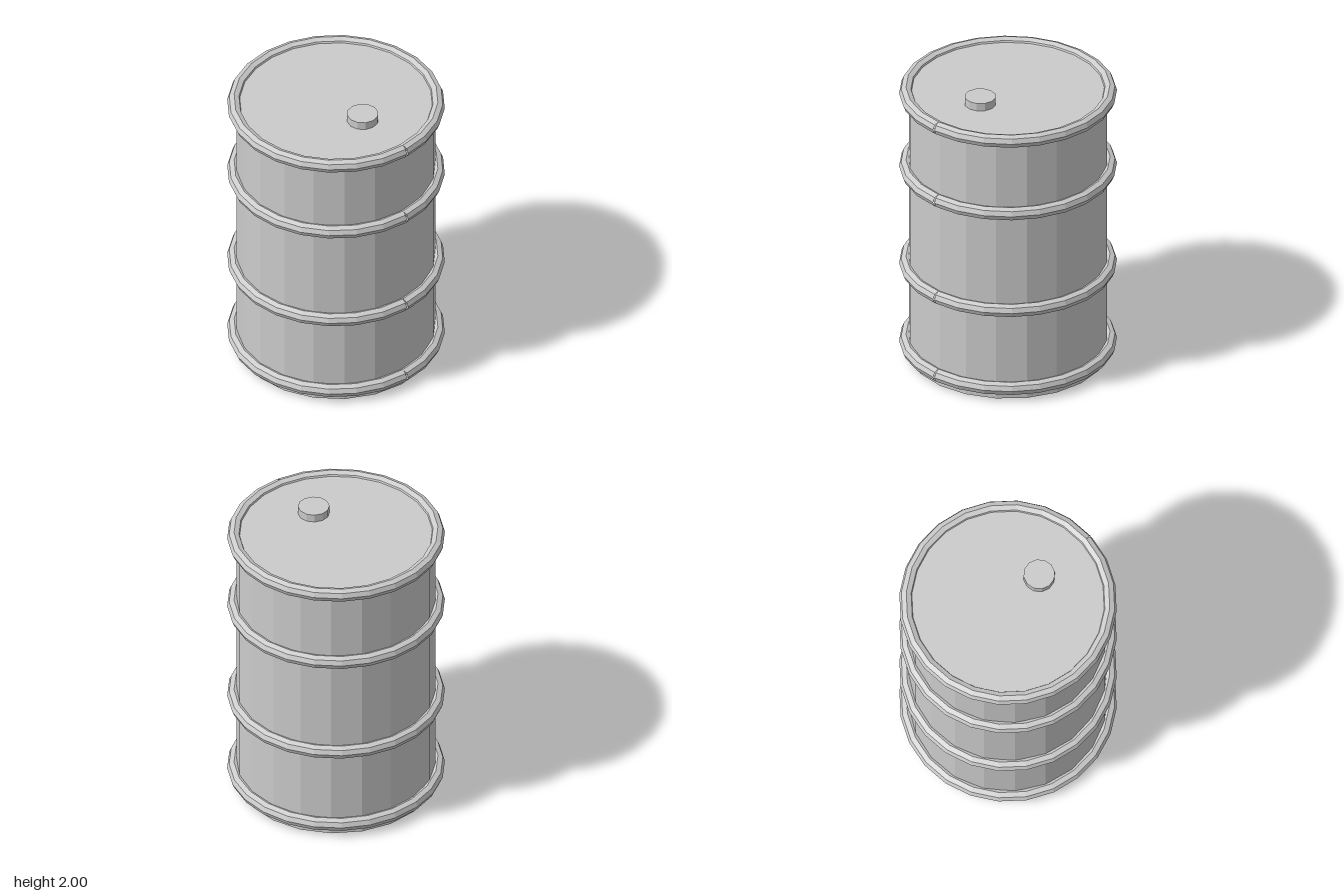
import * as THREE from 'three';

const material = new THREE.MeshStandardMaterial({ color: 0xcccccc, flatShading: true });
const ringMaterial = new THREE.MeshStandardMaterial({ color: 0xcccccc, flatShading: true, side: THREE.DoubleSide });

const RING_RADIUS = 0.665;
const TUBE_RADIUS = 0.045;
const RING_SEGMENTS = 24;

// Octagonal hoop bent from a bar: its two ends are cut square, leaving a small wedge-shaped seam at +x
function hoopGeometry() {
  const geometry = new THREE.TorusGeometry(RING_RADIUS, TUBE_RADIUS, 8, RING_SEGMENTS);
  const position = geometry.attributes.position;
  const tilt = Math.PI / RING_SEGMENTS;
  for (let i = 0; i < position.count; i++) {
    const step = i % (RING_SEGMENTS + 1);
    if (step !== 0 && step !== RING_SEGMENTS) continue;
    const offset = position.getX(i) - RING_RADIUS;
    const side = step === 0 ? 1 : -1;
    position.setX(i, RING_RADIUS + offset * Math.cos(tilt));
    position.setY(i, side * offset * Math.sin(tilt));
  }
  geometry.rotateX(Math.PI / 2);
  geometry.computeVertexNormals();
  return geometry;
}

function cylinder(name, radius, bottom, top, sides) {
  const mesh = new THREE.Mesh(new THREE.CylinderGeometry(radius, radius, top - bottom, sides), material);
  mesh.name = name;
  mesh.position.y = (bottom + top) / 2;
  return mesh;
}

export function createModel() {
  const drum = new THREE.Group();
  drum.name = 'drum';

  // Closed barrel body
  drum.add(cylinder('body', 0.65, 0, 1.945, 20));

  // Four hoops: bottom, two on the wall, top rim
  const hoop = hoopGeometry();
  const hoops = { bottomHoop: 0.085, lowerHoop: 0.665, upperHoop: 1.385, topRim: 1.925 };
  for (const [name, y] of Object.entries(hoops)) {
    const mesh = new THREE.Mesh(hoop, ringMaterial);
    mesh.name = name;
    mesh.position.y = y;
    drum.add(mesh);
  }

  // Filler cap, set off-centre on the lid
  const cap = cylinder('fillerCap', 0.103, 1.92, 2, 12);
  cap.position.x = 0.265;
  drum.add(cap);

  return drum;
}
